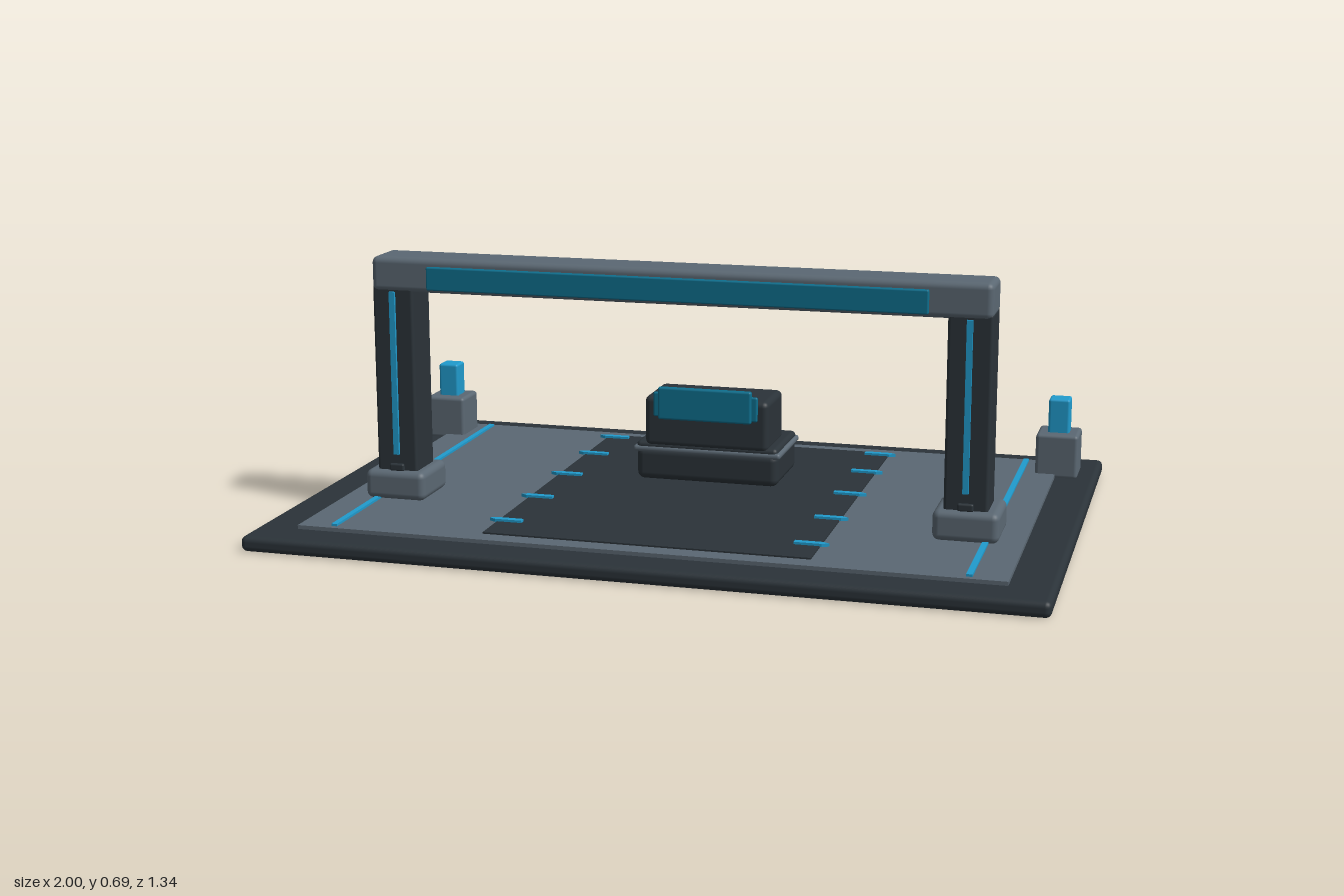
import * as THREE from 'three';
import { RoundedBoxGeometry } from 'three/addons/geometries/RoundedBoxGeometry.js';

const material = (name, color) => {
  const m = new THREE.MeshStandardMaterial({ color });
  m.name = name;
  return m;
};

export function createModel() {
  const model = new THREE.Group();
  model.name = 'gantryMachine';
  const dark = material('charcoal', 0x2b3339);
  const gray = material('slateGray', 0x5b6873);
  const blue = material('brightBlue', 0x209bcd);
  const teal = material('deepTeal', 0x0d6f8e);

  // Box given by its limits on each axis; r > 0 rounds the edges
  const box = (name, mat, [x0, x1], [y0, y1], [z0, z1], r = 0) => {
    const size = [x1 - x0, y1 - y0, z1 - z0];
    const geometry = r ? new RoundedBoxGeometry(...size, 3, r) : new THREE.BoxGeometry(...size);
    const mesh = new THREE.Mesh(geometry, mat);
    mesh.position.set((x0 + x1) / 2, (y0 + y1) / 2, (z0 + z1) / 2);
    mesh.name = name;
    model.add(mesh);
    return mesh;
  };
  // Same box on the left (+x) and right (-x)
  const pair = (name, mat, [x0, x1], y, z, r) => {
    box(name + 'Left', mat, [x0, x1], y, z, r);
    box(name + 'Right', mat, [-x1, -x0], y, z, r);
  };

  // Base and work bed
  box('base', dark, [-1, 1], [0, 0.04], [-0.67, 0.67], 0.015);
  box('bedPlate', gray, [-0.89, 0.89], [0.038, 0.05], [-0.575, 0.57]);
  box('workMat', dark, [-0.415, 0.415], [0.048, 0.054], [-0.53, 0.52]);
  pair('rail', blue, [0.79, 0.805], [0.048, 0.056], [-0.56, 0.555]);

  // Tick marks along the mat, pointed at the outer end
  const tick = new THREE.Shape([
    [0.35, -0.009], [0.42, -0.009], [0.437, 0], [0.42, 0.009], [0.35, 0.009],
  ].map(([x, y]) => new THREE.Vector2(x, y)));
  const tickGeometry = new THREE.ExtrudeGeometry(tick, { depth: 0.008, bevelEnabled: false });
  tickGeometry.rotateX(-Math.PI / 2);
  for (const z of [-0.5, -0.3, -0.065, 0.175, 0.41]) {
    for (const turn of [0, Math.PI]) {
      const mesh = new THREE.Mesh(tickGeometry, blue);
      mesh.name = 'matTick';
      mesh.rotation.y = turn;
      mesh.position.set(0, 0.052, z);
      model.add(mesh);
    }
  }

  // Gantry
  pair('gantryFoot', gray, [0.665, 0.83], [0.05, 0.127], [0.125, 0.29], 0.018);
  pair('gantryColumn', dark, [0.69, 0.8], [0.11, 0.615], [0.155, 0.27], 0.008);
  pair('columnLight', blue, [0.737, 0.752], [0.17, 0.6], [0.269, 0.278]);
  pair('columnBolt', dark, [0.725, 0.765], [0.125, 0.145], [0.26, 0.278], 0.005);
  box('gantryBeam', gray, [-0.8, 0.8], [0.6, 0.69], [0.145, 0.275], 0.016);
  box('beamPanel', teal, [-0.645, 0.645], [0.61, 0.67], [0.27, 0.287], 0.004);

  // Corner beacons at the back
  pair('beaconBase', gray, [0.835, 0.95], [0.038, 0.16], [-0.545, -0.43], 0.01);
  pair('beacon', blue, [0.864, 0.922], [0.15, 0.253], [-0.519, -0.461], 0.007);

  // Tool carriage
  box('carriageBody', dark, [-0.195, 0.195], [0.056, 0.145], [-0.295, -0.065], 0.02);
  box('carriageBand', gray, [-0.203, 0.203], [0.133, 0.15], [-0.297, -0.062], 0.008);
  box('carriageLid', dark, [-0.195, 0.195], [0.135, 0.162], [-0.295, -0.065], 0.012);
  box('toolHead', dark, [-0.17, 0.17], [0.15, 0.288], [-0.237, -0.062], 0.016);

  // Screen with a wider backing
  box('screenBacking', teal, [-0.143, 0.143], [0.235, 0.302], [-0.064, -0.052], 0.005);
  box('screen', teal, [-0.128, 0.128], [0.23, 0.318], [-0.06, -0.042], 0.006);
  return model;
}
